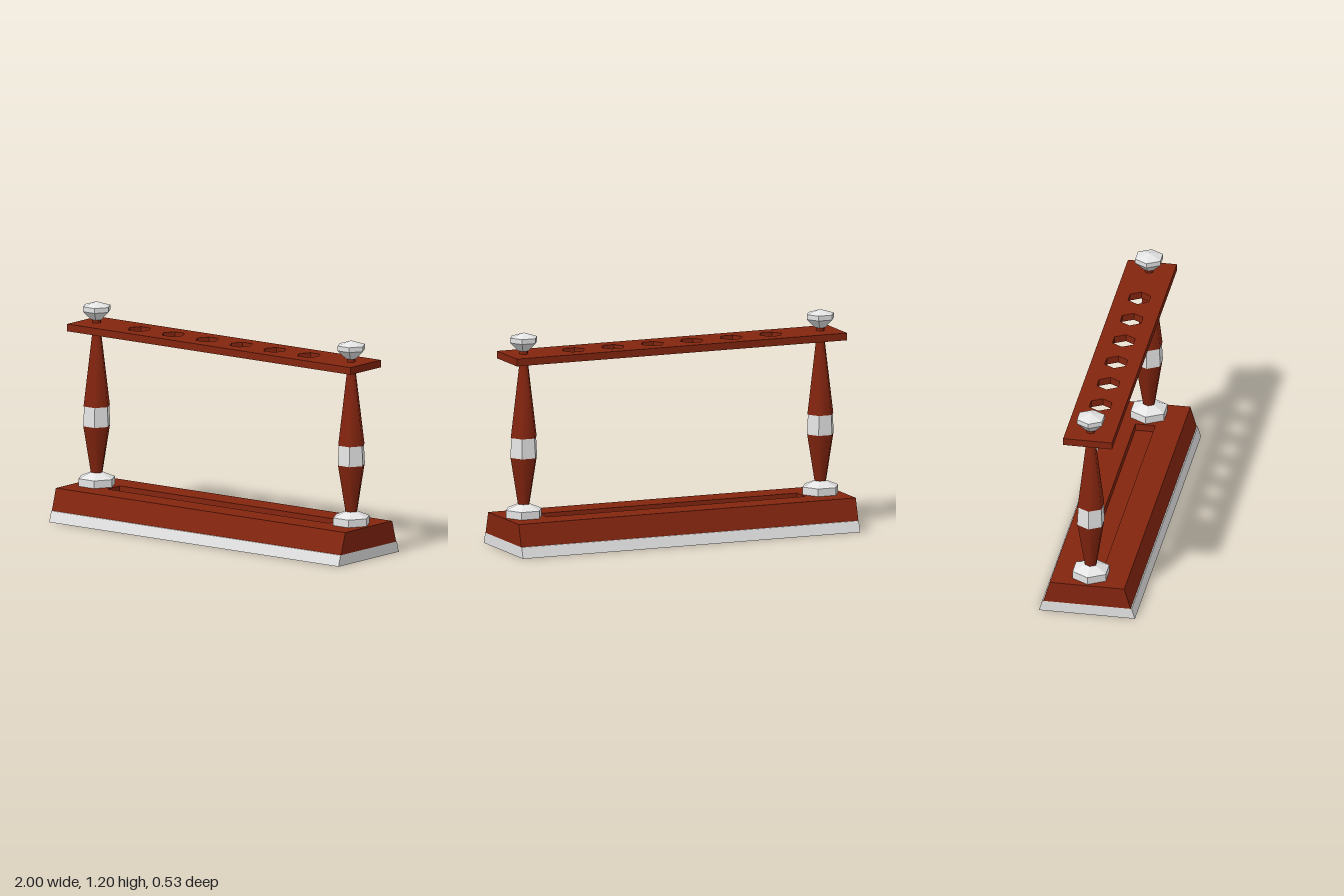
import * as THREE from 'three';

const wood = new THREE.MeshStandardMaterial({ name: 'red wood', color: 0x84250f });
const ivory = new THREE.MeshStandardMaterial({ name: 'pale ivory', color: 0xe4e4e4 });

const HALF_LENGTH = 1, GROOVE_END = 0.765, GROOVE_Z = 0.055, GROOVE_Y = 0.14;
const POST_X = 0.88, HOLES = 6, HOLE_STEP = 0.234;

function part(name, geometry, material) {
  const mesh = new THREE.Mesh(geometry, material);
  mesh.name = name;
  return mesh;
}

// Cross-section in (z, y), swept along x from x0 to x1
function bar(points, x0, x1) {
  const shape = new THREE.Shape(points.map(([z, y]) => new THREE.Vector2(z, y)));
  const g = new THREE.ExtrudeGeometry(shape, { depth: x1 - x0, bevelEnabled: false });
  return g.rotateY(Math.PI / 2).translate(x0, 0, 0);
}

// Six-sided turned piece with corners on the x axis
function turned(profile, faceted) {
  const points = profile.map(([r, y]) => new THREE.Vector2(r, y));
  let g = new THREE.LatheGeometry(points, 6).rotateY(Math.PI / 6);
  if (faceted) {
    g = g.toNonIndexed();
    g.computeVertexNormals();
  }
  return g;
}

function createBase() {
  const base = new THREE.Group();
  base.name = 'base';
  base.add(part('plinth', bar([[-0.265, 0], [0.265, 0], [0.247, 0.06], [-0.247, 0.06]],
    -HALF_LENGTH, HALF_LENGTH), ivory));

  // Sloped wooden block: solid ends with a grooved middle
  const solid = [[-0.241, 0.06], [0.241, 0.06], [0.206, 0.18], [-0.206, 0.18]];
  const grooved = [...solid.slice(0, 3),
    [GROOVE_Z, 0.18], [GROOVE_Z, GROOVE_Y], [-GROOVE_Z, GROOVE_Y], [-GROOVE_Z, 0.18], solid[3]];
  base.add(part('rightBlock', bar(solid, -HALF_LENGTH, -GROOVE_END), wood));
  base.add(part('groovedBlock', bar(grooved, -GROOVE_END, GROOVE_END), wood));
  base.add(part('leftBlock', bar(solid, GROOVE_END, HALF_LENGTH), wood));
  return base;
}

function createRail() {
  const x = 0.98, z = 0.135;
  const shape = new THREE.Shape([[-x, -z], [x, -z], [x, z], [-x, z]]
    .map(([a, b]) => new THREE.Vector2(a, b)));
  // Row of hexagonal holes
  for (let i = 0; i < HOLES; i++) {
    const cx = (i - (HOLES - 1) / 2) * HOLE_STEP;
    const corners = [];
    for (let k = 0; k < 6; k++) {
      const a = -k * Math.PI / 3;
      corners.push(new THREE.Vector2(cx + 0.066 * Math.cos(a), 0.066 * Math.sin(a)));
    }
    shape.holes.push(new THREE.Path(corners));
  }
  const g = new THREE.ExtrudeGeometry(shape, { depth: 0.04, bevelEnabled: false });
  return part('rail', g.rotateX(-Math.PI / 2).translate(0, 1.04, 0), wood);
}

function createPost(name, x) {
  const post = new THREE.Group();
  post.name = name;
  post.position.x = x;
  post.add(
    part('foot', turned([[0.106, 0.18], [0.106, 0.222], [0.034, 0.252], [0, 0.252]], true), ivory),
    part('lowerShaft', turned([[0.034, 0.25], [0.078, 0.51]]), wood),
    part('band', turned([[0.074, 0.51], [0.079, 0.51], [0.079, 0.52], [0.073, 0.625], [0.06, 0.625]], true), ivory),
    part('upperShaft', turned([[0.077, 0.62], [0.024, 1.04]]), wood),
    part('neck', turned([[0.025, 1.04], [0.025, 1.1]]), wood),
    part('knob', turned([[0, 1.098], [0.032, 1.098], [0.08, 1.145], [0.08, 1.172], [0, 1.197]], true), ivory),
  );
  return post;
}

export function createModel() {
  const model = new THREE.Group();
  model.name = 'rack';
  model.add(createBase(), createRail(),
    createPost('rightPost', -POST_X), createPost('leftPost', POST_X));
  return model;
}
